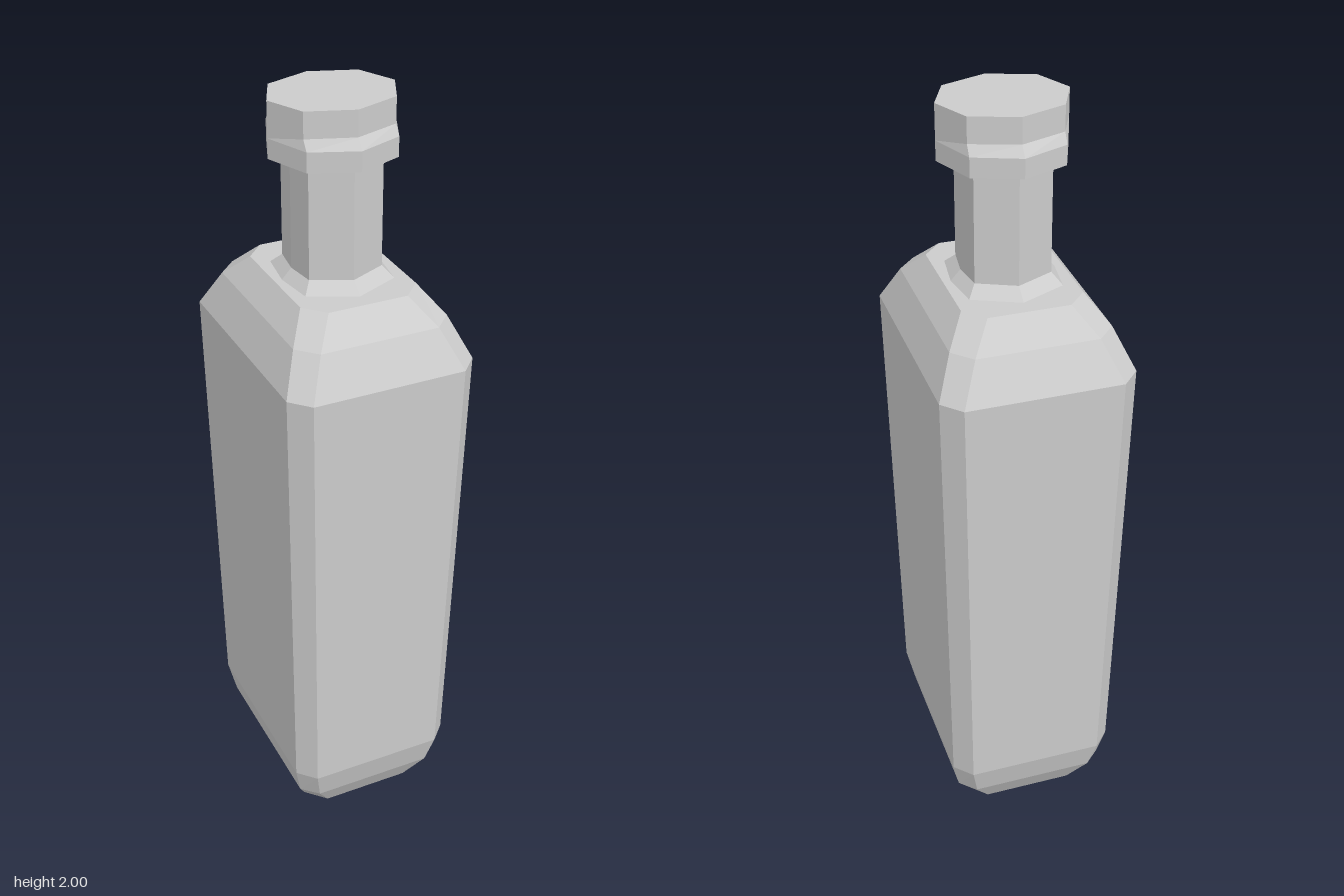
import * as THREE from 'three';

const material = new THREE.MeshStandardMaterial({ color: 0xcccccc, flatShading: true });

// Rectangle with cut corners: half sizes hx, hz and half flat lengths fx, fz
const chamferedRing = ([y, hx, hz, fx, fz]) => [
  [hx, fz], [hx, -fz], [fx, -hz], [-fx, -hz],
  [-hx, -fz], [-hx, fz], [-fx, hz], [fx, hz],
].map(([x, z]) => [x, y, z]);

// Octagon with points on the axes: axis radii rx, rz and diagonal corners dx, dz
const pointedRing = ([y, rx, rz, dx, dz]) => [
  [rx, 0], [dx, -dz], [0, -rz], [-dx, -dz],
  [-rx, 0], [-dx, dz], [0, rz], [dx, dz],
].map(([x, z]) => [x, y, z]);

// Skin a stack of rings from bottom to top and close both ends
function loft(name, rings) {
  const n = rings[0].length;
  const index = [];
  for (let r = 0; r < rings.length - 1; r++) {
    for (let i = 0; i < n; i++) {
      const a = r * n + i, b = r * n + (i + 1) % n;
      index.push(a, b, b + n, a, b + n, a + n);
    }
  }
  const top = (rings.length - 1) * n;
  for (let i = 1; i < n - 1; i++) {
    index.push(0, i + 1, i);
    index.push(top, top + i, top + i + 1);
  }
  const indexed = new THREE.BufferGeometry();
  indexed.setAttribute('position', new THREE.Float32BufferAttribute(rings.flat(2), 3));
  indexed.setIndex(index);
  const geometry = indexed.toNonIndexed();
  geometry.computeVertexNormals();
  const mesh = new THREE.Mesh(geometry, material);
  mesh.name = name;
  return mesh;
}

export function createModel() {
  const bottle = new THREE.Group();
  bottle.name = 'bottle';

  // Tapered body with rounded-in base and sloping shoulders
  bottle.add(loft('body', [
    [0, 0.17, 0.23, 0.12, 0.178],
    [0.08, 0.207, 0.275, 0.165, 0.235],
    [0.165, 0.226, 0.298, 0.182, 0.252],
    [1.38, 0.247, 0.33, 0.2, 0.28],
    [1.48, 0.203, 0.272, 0.155, 0.222],
    [1.545, 0.153, 0.205, 0.104, 0.153],
  ].map(chamferedRing)));

  // Neck with a small flare at its foot
  bottle.add(loft('neck', [
    [1.543, 0.135, 0.163, 0.12, 0.108],
    [1.572, 0.108, 0.125, 0.097, 0.08],
    [1.88, 0.108, 0.125, 0.097, 0.08],
  ].map(pointedRing)));

  // Stopper: lower rim, then a step inwards at front and back
  bottle.add(loft('stopper', [
    [1.86, 0.163, 0.163, 0.117, 0.117],
    [1.91, 0.163, 0.163, 0.117, 0.117],
    [1.935, 0.163, 0.141, 0.117, 0.1],
    [2, 0.163, 0.141, 0.117, 0.1],
  ].map(pointedRing)));

  return bottle;
}
